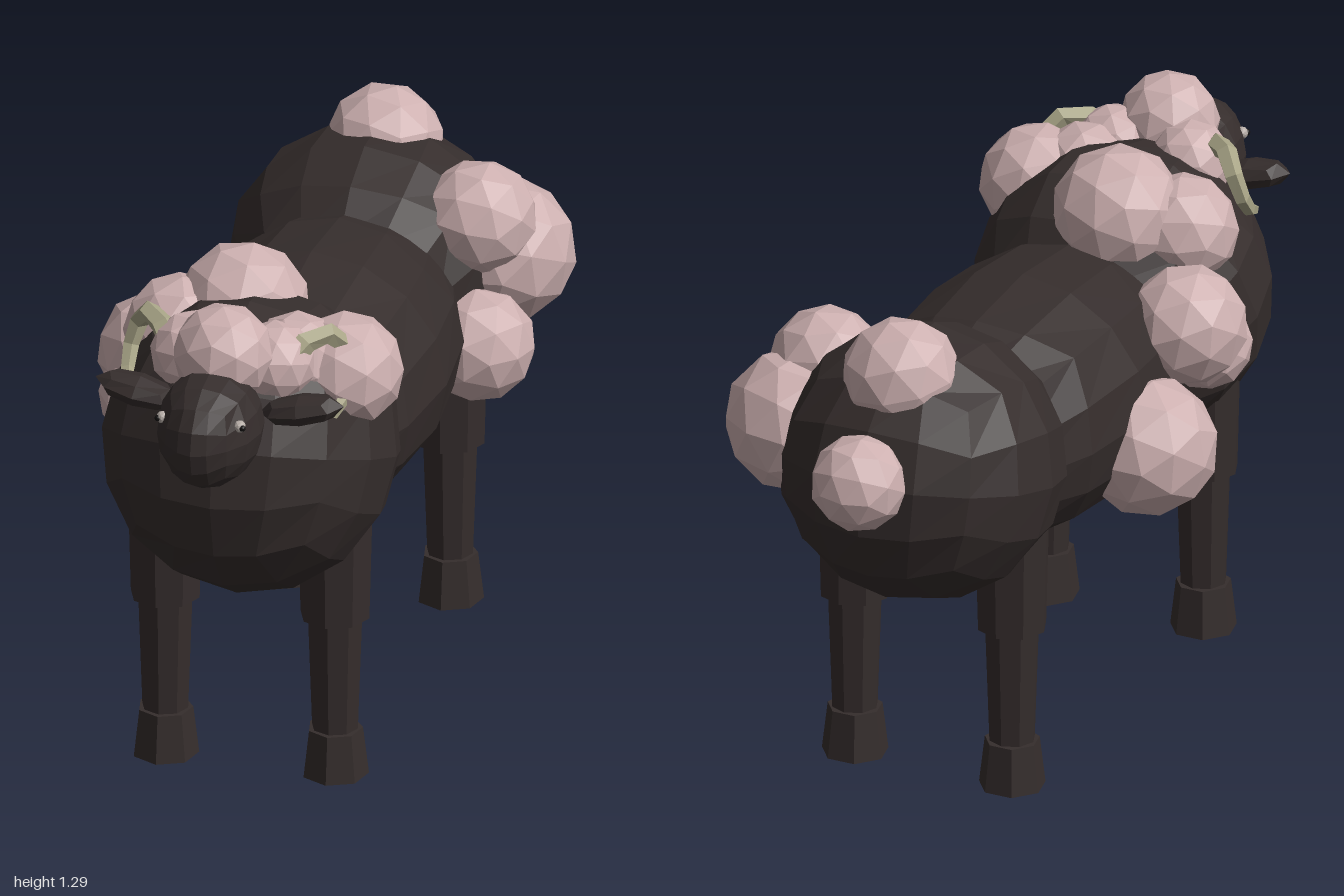
import * as THREE from 'three';

const mat = (name, color, extra = {}) => {
  const m = new THREE.MeshStandardMaterial({ color, flatShading: true, ...extra });
  m.name = name;
  return m;
};

// Quad-faced ellipsoid: a subdivided box pushed out to a sphere; square > 0 keeps it barrel-like
function quadBall(rx, ry, rz, seg = 4, shape = null) {
  const g = new THREE.BoxGeometry(2, 2, 2, seg, seg, seg);
  const p = g.attributes.position, v = new THREE.Vector3();
  for (let i = 0; i < p.count; i++) {
    v.fromBufferAttribute(p, i);
    v.set(Math.tan(v.x * Math.PI / 4), Math.tan(v.y * Math.PI / 4), Math.tan(v.z * Math.PI / 4)).normalize();
    if (shape) shape(v);
    p.setXYZ(i, v.x * rx, v.y * ry, v.z * rz);
  }
  g.computeVertexNormals();
  return g;
}

// Tapered tube of few-sided rings along a path
function taperedTube(points, radius, tipRadius, segments, sides) {
  const curve = new THREE.CatmullRomCurve3(points.map(a => new THREE.Vector3(...a)));
  const g = new THREE.TubeGeometry(curve, segments, 1, sides, false);
  const p = g.attributes.position, v = new THREE.Vector3(), c = new THREE.Vector3();
  for (let i = 0; i < p.count; i++) {
    const t = Math.floor(i / (sides + 1)) / segments;
    curve.getPointAt(t, c);
    v.fromBufferAttribute(p, i).sub(c).multiplyScalar(radius + (tipRadius - radius) * t).add(c);
    p.setXYZ(i, v.x, v.y, v.z);
  }
  g.computeVertexNormals();
  return g;
}

export function createModel() {
  const root = new THREE.Group();
  root.name = 'sheep';
  const skin = mat('darkSkin', 0x352d2c);
  const wool = mat('paleWool', 0xcdb0b0);
  const horn = mat('horn', 0xaaa688, { side: THREE.DoubleSide });
  const eyeWhite = mat('eyeWhite', 0xb5aca6);
  const pupil = mat('pupil', 0x121010);

  const add = (name, geo, material, [x, y, z], parent = root) => {
    const m = new THREE.Mesh(geo, material);
    m.name = name;
    m.position.set(x, y, z);
    parent.add(m);
    return m;
  };

  // Body: chest, barrel and rump
  add('chest', quadBall(0.355, 0.365, 0.355), skin, [0, 0.835, 0.475]).rotation.x = -0.35;
  add('barrel', quadBall(0.33, 0.305, 0.62), skin, [0, 0.78, -0.04]);
  add('rump', quadBall(0.345, 0.335, 0.335), skin, [0, 0.82, -0.56]).rotation.x = 0.2;

  // Head, narrowing to the muzzle
  add('head', quadBall(0.125, 0.14, 0.17, 4, v => {
    if (v.z > 0) v.x *= 1 - 0.3 * v.z * v.z;
  }), skin, [0, 1.03, 0.83]);

  for (const s of [1, -1]) {
    const side = s > 0 ? 'left' : 'right';

    // Ear: flattened leaf
    const ear = add(side + 'Ear', quadBall(0.105, 0.036, 0.055, 2), skin, [s * 0.2, 1.062, 0.745]);
    ear.rotation.z = s * 0.2;

    // Eye
    add(side + 'Eye', new THREE.IcosahedronGeometry(0.015, 1), eyeWhite, [s * 0.094, 1.078, 0.905]);
    add(side + 'Pupil', new THREE.IcosahedronGeometry(0.008, 1), pupil, [s * 0.103, 1.078, 0.913]);

    // Curled horn
    add(side + 'Horn', taperedTube([
      [s * 0.14, 1.14, 0.66], [s * 0.2, 1.195, 0.6], [s * 0.255, 1.14, 0.55],
      [s * 0.27, 1.06, 0.58], [s * 0.25, 1.015, 0.66],
    ], 0.032, 0.014, 6, 5), horn, [0, 0, 0]);

    // Legs: thigh, shin and hoof
    for (const [place, z] of [['front', 0.485], ['back', -0.5]]) {
      const leg = new THREE.Group();
      leg.name = place + side[0].toUpperCase() + side.slice(1) + 'Leg';
      leg.position.set(s * 0.207, 0, z);
      root.add(leg);
      add('thigh', new THREE.CylinderGeometry(0.092, 0.084, 0.3, 8), skin, [0, 0.56, 0], leg);
      add('shin', new THREE.CylinderGeometry(0.067, 0.056, 0.31, 8), skin, [0, 0.275, 0], leg);
      add('hoof', new THREE.CylinderGeometry(0.066, 0.08, 0.118, 7), skin, [0, 0.059, 0], leg);
    }
  }

  // Wool puffs: x, y, z, radius
  const puffs = {
    forelock: [0, 1.17, 0.715, 0.12],
    leftForelock: [0.1, 1.12, 0.63, 0.1],
    rightForelock: [-0.1, 1.12, 0.63, 0.1],
    nape: [-0.06, 1.105, 0.335, 0.16],
    rightNape: [-0.195, 1.06, 0.4, 0.135],
    rightShoulder: [-0.3, 0.91, 0.22, 0.145],
    rightShoulderLow: [-0.31, 0.83, 0.3, 0.11],
    rightFlank: [-0.31, 0.69, 0, 0.168],
    leftShoulder: [0.235, 1.055, 0.495, 0.14],
    leftNape: [0.13, 1.09, 0.54, 0.115],
    leftHip: [0.31, 0.875, -0.595, 0.175],
    leftHipTop: [0.275, 0.99, -0.51, 0.14],
    leftFlank: [0.305, 0.72, -0.395, 0.138],
    rumpTop: [0, 1.08, -0.665, 0.143],
    tail: [0, 0.895, -0.885, 0.116],
  };
  Object.entries(puffs).forEach(([name, [x, y, z, r]], i) => {
    const puff = add(name + 'Wool', new THREE.IcosahedronGeometry(r, 1), wool, [x, y, z]);
    puff.rotation.set(i * 1.3, i * 0.7, i * 0.4);
  });

  return root;
}
